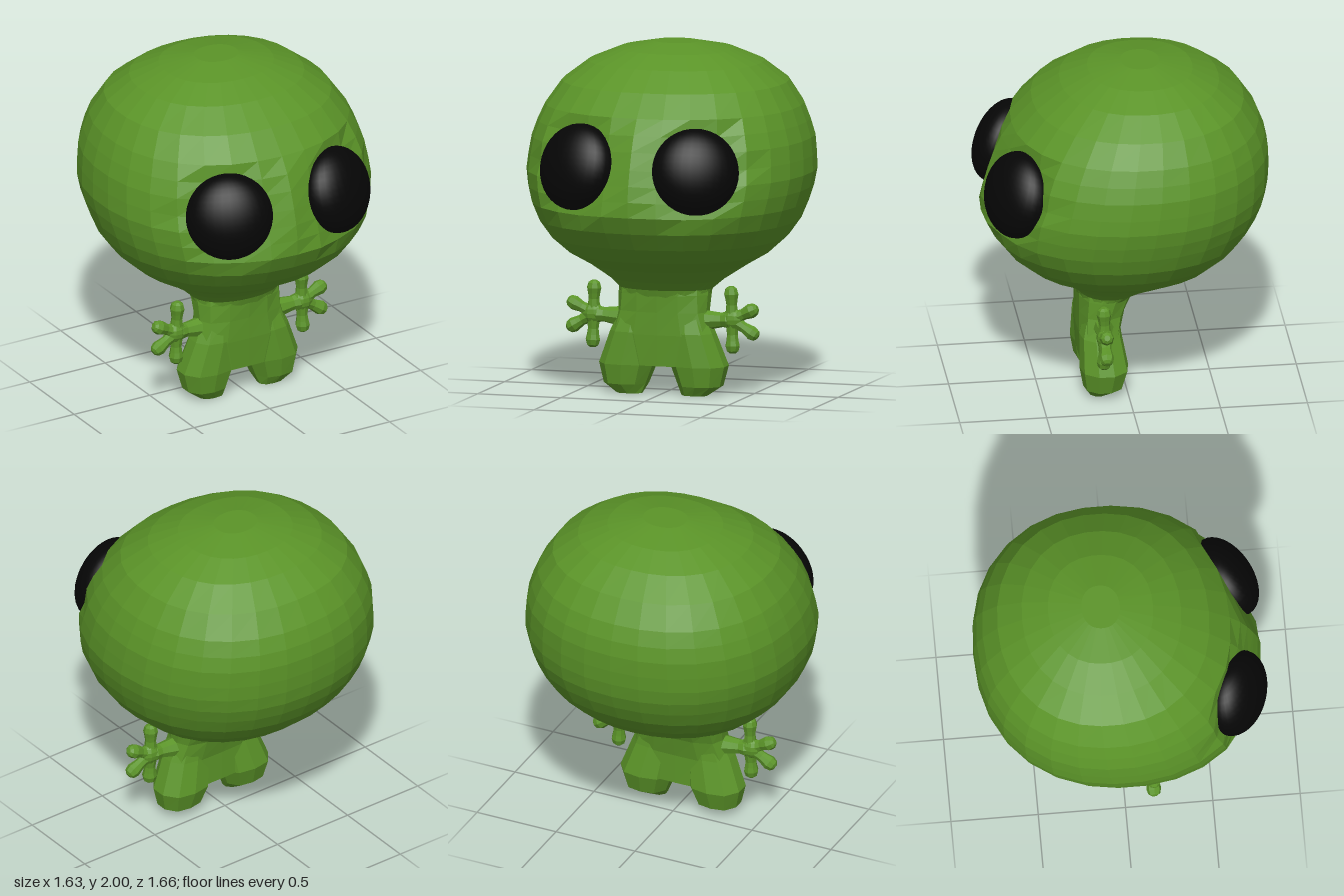
import * as THREE from 'three';

const green = new THREE.MeshStandardMaterial({ color: 0x5b9428, flatShading: true });
const black = new THREE.MeshStandardMaterial({ color: 0x060606 });

// Loft through rounded cross-sections [y, x0, x1, z0, z1, squareness]
function loft(rings, segments) {
  const pos = [], idx = [];
  for (const [y, x0, x1, z0, z1, n = 2.2] of rings) {
    for (let j = 0; j < segments; j++) {
      const t = ((j + 0.5) / segments) * Math.PI * 2, c = Math.cos(t), s = Math.sin(t);
      const r = 1 / Math.pow(Math.abs(c) ** n + Math.abs(s) ** n, 1 / n);
      pos.push((x0 + x1) / 2 + (r * c * (x1 - x0)) / 2, y, (z0 + z1) / 2 + (r * s * (z1 - z0)) / 2);
    }
  }
  for (let i = 0; i < rings.length - 1; i++) {
    for (let j = 0; j < segments; j++) {
      const k = (j + 1) % segments;
      const a = i * segments + j, b = i * segments + k, c = a + segments, d = b + segments;
      idx.push(a, c, b, b, c, d);
    }
  }
  // End caps
  const last = rings.length - 1;
  for (const i of [0, last]) {
    const [y, x0, x1, z0, z1] = rings[i], m = pos.length / 3;
    pos.push((x0 + x1) / 2, y, (z0 + z1) / 2);
    for (let j = 0; j < segments; j++) {
      const a = i * segments + j, b = i * segments + ((j + 1) % segments);
      if (i === 0) idx.push(m, a, b); else idx.push(m, b, a);
    }
  }
  const g = new THREE.BufferGeometry();
  g.setAttribute('position', new THREE.Float32BufferAttribute(pos, 3));
  g.setIndex(idx);
  g.computeVertexNormals();
  return g;
}

function add(parent, name, geometry, material = green) {
  const mesh = new THREE.Mesh(geometry, material);
  mesh.name = name;
  parent.add(mesh);
  return mesh;
}

// Eye placement, mirrored by side
const eyeCentre = (side) => new THREE.Vector3(0.355 * side, 1.36, 0.65);
const eyeNormal = (side) => new THREE.Vector3(0.41 * side, 0.27, 0.87).normalize();

// Press the head surface flat behind each eye
function pressSockets(geometry) {
  const p = geometry.attributes.position, v = new THREE.Vector3();
  for (let i = 0; i < p.count; i++) {
    for (const side of [1, -1]) {
      const n = eyeNormal(side);
      v.fromBufferAttribute(p, i).sub(eyeCentre(side));
      const depth = v.dot(n);
      const radial = Math.sqrt(Math.max(0, v.lengthSq() - depth * depth));
      if (radial < 0.3 && depth > -0.01) {
        v.addScaledVector(n, -0.01 - depth).add(eyeCentre(side));
        p.setXYZ(i, v.x, v.y, v.z);
      }
    }
  }
  geometry.computeVertexNormals();
  return geometry;
}

// Limb with a rounded, slightly swollen tip, from one point to another
function limb(parent, name, from, to, baseR, shaftR, tipR) {
  const a = new THREE.Vector3(...from), b = new THREE.Vector3(...to);
  const L = a.distanceTo(b);
  const profile = [
    [0, 0], [baseR, 0], [shaftR, L * 0.45], [tipR * 0.85, L - tipR * 1.7],
    [tipR, L - tipR * 1.0], [tipR * 0.8, L - tipR * 0.3], [tipR * 0.4, L], [0, L],
  ].map(([x, y]) => new THREE.Vector2(x, y));
  const mesh = add(parent, name, new THREE.LatheGeometry(profile, 8));
  mesh.position.copy(a);
  mesh.quaternion.setFromUnitVectors(new THREE.Vector3(0, 1, 0), b.sub(a).normalize());
}

export function createModel() {
  const model = new THREE.Group();
  model.name = 'bigHeadedFigure';

  // Head: half width, back z, front z at each height
  const headRings = [
    [0.56, 0.26, -0.02, 0.27], [0.61, 0.275, -0.1, 0.285], [0.66, 0.33, -0.21, 0.335],
    [0.74, 0.45, -0.42, 0.46], [0.81, 0.57, -0.54, 0.585], [0.9, 0.67, -0.64, 0.69],
    [1.0, 0.74, -0.72, 0.765], [1.1, 0.78, -0.775, 0.815], [1.19, 0.805, -0.81, 0.815],
    [1.28, 0.82, -0.825, 0.8], [1.37, 0.813, -0.83, 0.775], [1.47, 0.8, -0.828, 0.74],
    [1.56, 0.77, -0.81, 0.7], [1.65, 0.732, -0.775, 0.64], [1.78, 0.645, -0.69, 0.52],
    [1.89, 0.5, -0.55, 0.36], [1.96, 0.33, -0.4, 0.2], [2.0, 0.13, -0.21, 0.01],
  ].map(([y, w, back, front]) => [y, -w, w, back, front]);
  add(model, 'head', pressSockets(loft(headRings, 30)));

  // Torso
  add(model, 'torso', loft([
    [0.17, -0.22, 0.22, 0.03, 0.26, 4], [0.35, -0.3, 0.3, 0.03, 0.27, 3.5],
    [0.48, -0.265, 0.265, 0.0, 0.27, 3], [0.58, -0.27, 0.27, -0.05, 0.275, 2.5],
    [0.66, -0.27, 0.27, -0.12, 0.28],
  ], 14));

  for (const side of [1, -1]) {
    const label = side > 0 ? 'left' : 'right';

    // Leg with rounded foot
    add(model, label + 'Leg', loft([
      [0, 0.12, 0.27, 0.12, 0.22], [0.055, 0.095, 0.35, 0.03, 0.255],
      [0.17, 0.05, 0.378, -0.005, 0.275], [0.36, 0.03, 0.307, 0.03, 0.27],
      [0.48, 0.05, 0.25, 0.04, 0.24],
    ].map(([y, a, b, z0, z1]) => [y, side > 0 ? a : -b, side > 0 ? b : -a, z0, z1, 2.6]), 10));

    // Arm, palm and four splayed fingers
    const arm = new THREE.Group();
    arm.name = label + 'Arm';
    model.add(arm);
    limb(arm, 'forearm', [0.22 * side, 0.43, 0.14], [0.44 * side, 0.445, 0.155], 0.065, 0.048, 0.05);
    const palm = add(arm, 'palm', new THREE.SphereGeometry(0.065, 10, 8));
    palm.position.set(0.42 * side, 0.445, 0.155);
    palm.scale.z = 0.75;
    for (const [x, y, z] of [[0.41, 0.635, 0.16], [0.568, 0.518, 0.16], [0.57, 0.35, 0.16], [0.42, 0.25, 0.16]]) {
      limb(arm, 'finger', [0.415 * side, 0.445, 0.155], [x * side, y, z], 0.042, 0.032, 0.043);
    }

    // Domed eye
    const eye = add(model, label + 'Eye', new THREE.SphereGeometry(1, 32, 20), black);
    eye.scale.set(0.25, 0.25, 0.152);
    eye.position.copy(eyeCentre(side));
    eye.quaternion.setFromUnitVectors(new THREE.Vector3(0, 0, 1), eyeNormal(side));
  }
  return model;
}
